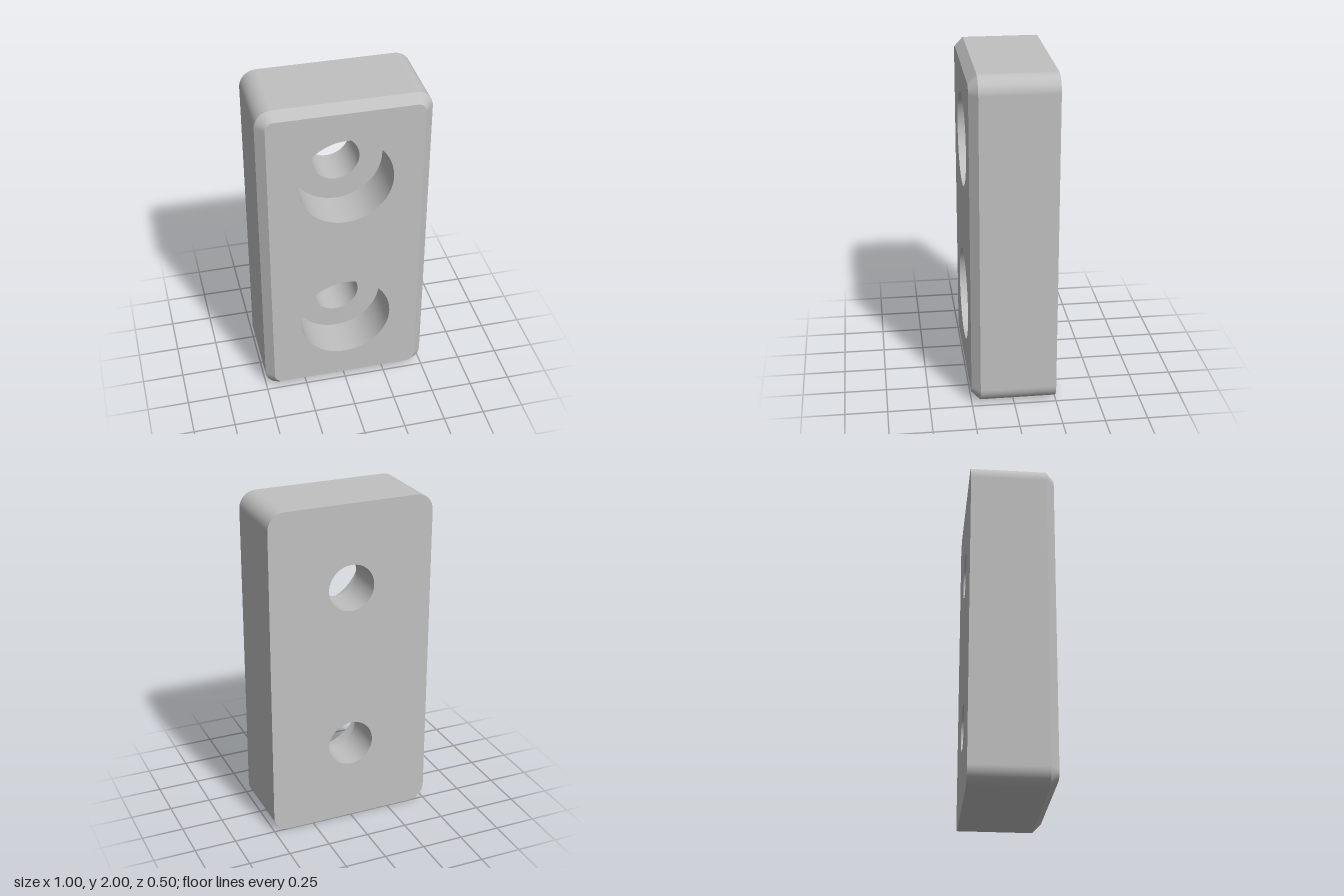
import * as THREE from 'three';

const HALF_DEPTH = 0.25, CHAMFER = 0.05, CORNER = 0.1;
const HOLE_Y = [0.5, 1.5];
const BORE_R = 0.277, SHAFT_R = 0.14, LEDGE_Z = 0;

// A loop is a list of centres with outward directions, offset later by a radius
function arc(cx, cy, start, sweep, steps) {
  return Array.from({ length: steps + 1 }, (_, i) => {
    const a = start + (sweep * i) / steps;
    return { cx, cy, nx: Math.cos(a), ny: Math.sin(a) };
  });
}
const circleLoop = (y) => arc(0, y, 0, Math.PI * 2, 64).slice(0, -1);
const blockLoop = () => [[1, 1], [-1, 1], [-1, -1], [1, -1]].flatMap(([sx, sy], k) =>
  arc(sx * (0.5 - CORNER), 1 + sy * (1 - CORNER), (k * Math.PI) / 2, Math.PI / 2, 12));
const offset = (loop, r) => loop.map((p) => new THREE.Vector2(p.cx + p.nx * r, p.cy + p.ny * r));

// Band between two [radius, z] rings of a loop, smooth around and sharp at its rims
function band(loop, [r0, z0], [r1, z1]) {
  const pos = [], nor = [], idx = [], n = loop.length;
  const len = Math.hypot(r1 - r0, z1 - z0);
  const out = (z1 - z0) / len, fwd = (r0 - r1) / len;
  loop.forEach((p, i) => {
    for (const [r, z] of [[r0, z0], [r1, z1]]) {
      pos.push(p.cx + p.nx * r, p.cy + p.ny * r, z);
      nor.push(p.nx * out, p.ny * out, fwd);
    }
    const a = 2 * i, b = 2 * ((i + 1) % n);
    idx.push(a, b, b + 1, a, b + 1, a + 1);
  });
  const g = new THREE.BufferGeometry();
  g.setAttribute('position', new THREE.Float32BufferAttribute(pos, 3));
  g.setAttribute('normal', new THREE.Float32BufferAttribute(nor, 3));
  g.setIndex(idx);
  return g;
}

// Flat rounded face pierced by both holes
function face(cornerR, holeR) {
  const shape = new THREE.Shape(offset(blockLoop(), cornerR));
  shape.holes = HOLE_Y.map((y) => new THREE.Path(offset(circleLoop(y), holeR)));
  return new THREE.ShapeGeometry(shape);
}

export function createModel() {
  const group = new THREE.Group();
  group.name = 'mountingBlock';
  const grey = new THREE.MeshStandardMaterial({ color: 0xc0c0c0 });
  grey.name = 'plain grey';
  const add = (name, geometry) => {
    const mesh = new THREE.Mesh(geometry, grey);
    mesh.name = name;
    group.add(mesh);
  };

  // Block shell: straight sides, front chamfer, two flat faces
  const inner = CORNER - CHAMFER, rimZ = HALF_DEPTH - CHAMFER;
  add('sides', band(blockLoop(), [CORNER, -HALF_DEPTH], [CORNER, rimZ]));
  add('frontChamfer', band(blockLoop(), [CORNER, rimZ], [inner, HALF_DEPTH]));
  add('frontFace', face(inner, BORE_R).translate(0, 0, HALF_DEPTH));
  add('backFace', face(CORNER, SHAFT_R).rotateY(Math.PI).translate(0, 0, -HALF_DEPTH));

  // Counterbored screw holes
  HOLE_Y.forEach((y, i) => {
    const loop = circleLoop(y), where = i ? 'upper' : 'lower';
    add(where + 'CounterboreWall', band(loop, [BORE_R, HALF_DEPTH], [BORE_R, LEDGE_Z]));
    add(where + 'CounterboreLedge', band(loop, [BORE_R, LEDGE_Z], [SHAFT_R, LEDGE_Z]));
    add(where + 'ScrewHole', band(loop, [SHAFT_R, LEDGE_Z], [SHAFT_R, -HALF_DEPTH]));
  });
  return group;
}
